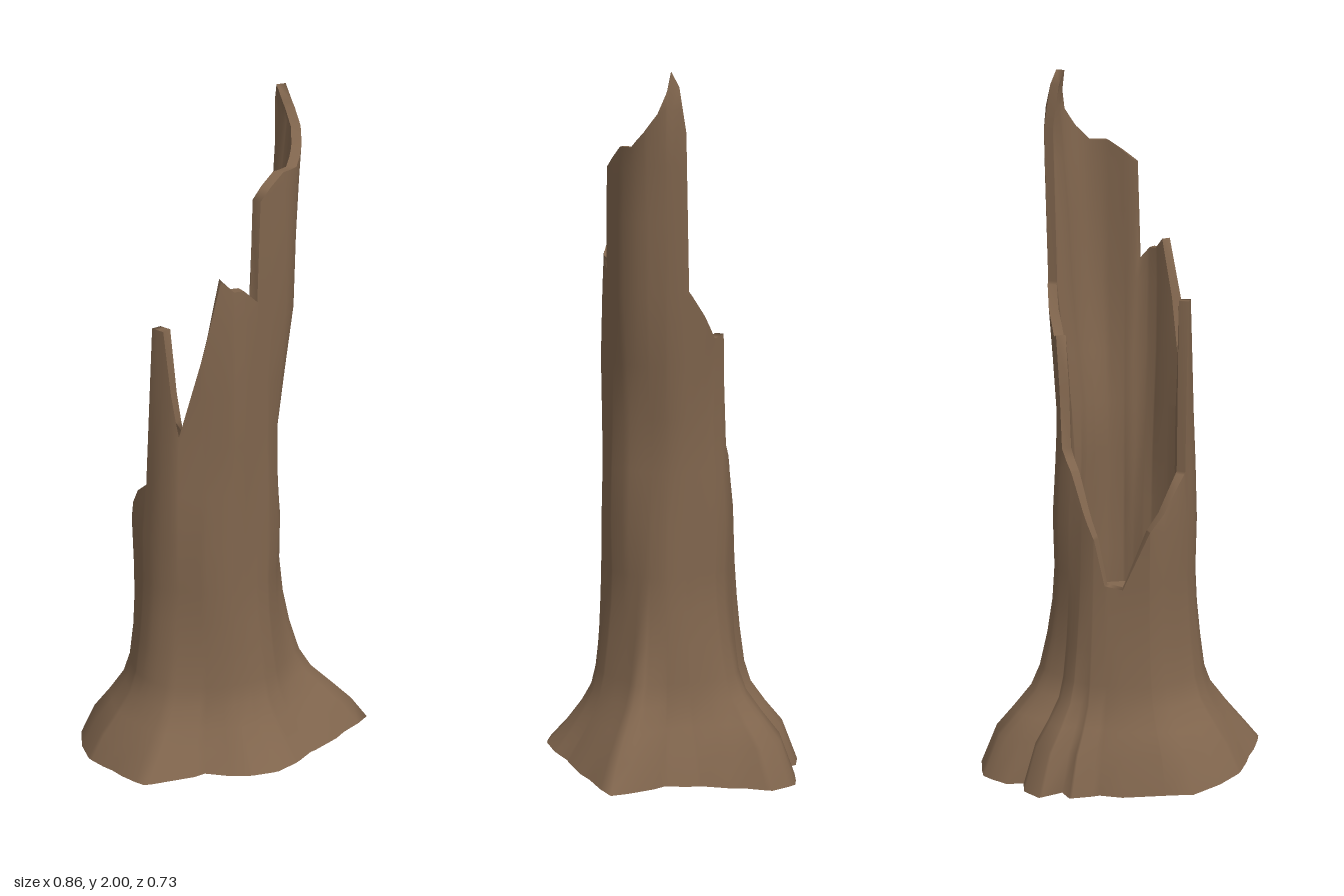
import * as THREE from 'three';
import { mergeVertices } from 'three/addons/utils/BufferGeometryUtils.js';

const CX = -0.03, CZ = 0.02, FLOOR = 0.5;

// Root outline on the ground (x, z)
const ROOTS = [
  [0.425, 0.155], [0.32, 0.22], [0.18, 0.295], [0.05, 0.365], [-0.04, 0.355], [-0.15, 0.29], [-0.335, 0.28],
  [-0.39, 0.16], [-0.43, 0.06], [-0.4, -0.11], [-0.34, -0.155], [-0.18, -0.26], [-0.12, -0.32],
  [-0.08, -0.305], [-0.045, -0.365], [0.015, -0.36], [0.05, -0.325], [0.09, -0.355], [0.18, -0.355],
  [0.25, -0.29], [0.255, -0.21], [0.275, -0.09], [0.305, 0.01], [0.38, 0.09],
];

// Height of the broken rim by angle in degrees (0 = +x, 90 = front)
const RIM = [
  [3, 1.89], [12, 1.84], [22, 1.8], [36, 1.8], [50, 1.77], [63, 1.74], [66, 1.46], [80, 1.5], [89, 1.5],
  [101, 1.53], [119, 1.3], [137, 1.08], [144, 1.2], [152, 1.38], [164, 1.38], [172, 0.9], [186, 0.86],
  [210, 0.75], [230, 0.58], [245, 0.59], [254, 0.72], [267, 0.8], [282, 0.9], [295, 0.96], [303, 1.28],
  [314, 1.27], [328, 1.34], [342, 1.41], [345, 1.84], [349, 1.96], [354, 2.0], [357, 1.95],
];

// Trunk extents by height: y, +x, -x, +z, -z
const TRUNK = [
  [0.3, 0.195, -0.26, 0.22, -0.19], [0.55, 0.17, -0.25, 0.205, -0.175], [0.75, 0.175, -0.255, 0.205, -0.175],
  [1.0, 0.16, -0.235, 0.2, -0.165], [1.4, 0.205, -0.235, 0.198, -0.17], [1.75, 0.22, -0.24, 0.185, -0.165],
  [1.9, 0.225, -0.24, 0.175, -0.16], [2.0, 0.2, -0.235, 0.17, -0.16],
];

// Share of root flare by height
const FLARE = [[0.05, 1], [0.12, 0.75], [0.18, 0.47], [0.24, 0.22], [0.3, 0.1], [0.4, 0.04], [0.55, 0]];

// Linear lookup of column k in a table sorted on column 0
function lookup(table, v, k = 1) {
  if (v <= table[0][0]) return table[0][k];
  for (let i = 1; i < table.length; i++) {
    const a = table[i - 1], b = table[i];
    if (v <= b[0]) return a[k] + (b[k] - a[k]) * (v - a[0]) / (b[0] - a[0]);
  }
  return table[table.length - 1][k];
}

// Repeat an angle table on both sides so lookups wrap round
function wrapped(table) {
  const t = [...table].sort((a, b) => a[0] - b[0]);
  return [-360, 0, 360].flatMap((o) => t.map(([a, v]) => [a + o, v]));
}

const rootPolar = ROOTS.map(([x, z]) => {
  const deg = THREE.MathUtils.radToDeg(Math.atan2(z - CZ, x - CX));
  return [(deg + 360) % 360, Math.hypot(x - CX, z - CZ)];
});
const rootTable = wrapped(rootPolar), rimTable = wrapped(RIM);
const angles = [...rootPolar, ...RIM].map((p) => p[0]).sort((a, b) => a - b);

const rimY = (deg) => lookup(rimTable, deg);

function polar(deg, r, y) {
  const a = THREE.MathUtils.degToRad(deg);
  return [CX + r * Math.cos(a), y, CZ + r * Math.sin(a)];
}

// Radius of the bark without roots
function trunkRadius(deg, y) {
  const a = THREE.MathUtils.degToRad(deg), c = Math.cos(a), s = Math.sin(a);
  const ax = Math.abs(lookup(TRUNK, y, c > 0 ? 1 : 2) - CX);
  const az = Math.abs(lookup(TRUNK, y, s > 0 ? 3 : 4) - CZ);
  const bump = 0.004 * Math.sin(7 * a + 3 * y) + 0.003 * Math.sin(4 * a - 9 * y);
  return 1 / Math.hypot(c / ax, s / az) + bump;
}

// Bark surface, spreading into roots near the ground
function bark(deg, y) {
  const root = lookup(rootTable, deg), trunk = trunkRadius(deg, y);
  const f = Math.pow(lookup(FLARE, y), Math.pow(0.4 / root, 1.5));
  return polar(deg, trunk + (root - trunk) * f, y);
}

function groundEdge(deg) {
  const p = polar(deg, lookup(rootTable, deg), 0);
  p[1] = 0.0365 + 0.1 * p[2];
  return p;
}

// Inner wall, thicker towards the floor of the hollow
function hollow(deg, y) {
  const depth = THREE.MathUtils.clamp((rimY(deg) - y) / 0.9, 0, 1);
  return polar(deg, trunkRadius(deg, y) - 0.028 - 0.035 * depth, y);
}

// Closed surface from a list of ring functions
function skin(name, rings, material) {
  const n = angles.length, pos = [], idx = [];
  rings.forEach((ring) => angles.forEach((deg) => pos.push(...ring(deg))));
  for (let j = 0; j < rings.length - 1; j++) {
    for (let i = 0; i < n; i++) {
      const k = (i + 1) % n, a = j * n + i, b = j * n + k;
      idx.push(a, a + n, b, b, a + n, b + n);
    }
  }
  let g = new THREE.BufferGeometry();
  g.setAttribute('position', new THREE.Float32BufferAttribute(pos, 3));
  g.setIndex(idx);
  g = mergeVertices(g, 1e-5);
  g.computeVertexNormals();
  const mesh = new THREE.Mesh(g, material);
  mesh.name = name;
  return mesh;
}

export function createModel() {
  const wood = new THREE.MeshStandardMaterial({ color: 0x80654d });
  wood.name = 'brown wood';
  const group = new THREE.Group();
  group.name = 'brokenTreeStump';

  // Rows stop at the jagged rim wherever it is lower
  const upTo = (surface, y) => (deg) => surface(deg, Math.min(y, rimY(deg)));
  const upper = [0.6, 0.75, 0.9, 1.05, 1.2, 1.4, 1.6, 1.75, 1.9, 2.01];
  const lower = [0.12, 0.18, 0.24, 0.3, 0.4, 0.5];

  group.add(
    skin('barkAndRoots', [groundEdge, ...[...lower, ...upper].map((y) => upTo(bark, y))], wood),
    skin('hollowWall', [FLOOR, ...upper].reverse().map((y) => upTo(hollow, y)), wood),
    skin('splinteredRim', [upTo(bark, 3), upTo(hollow, 3)], wood),
    skin('hollowFloor', [(d) => hollow(d, FLOOR), () => [CX, FLOOR - 0.01, CZ]], wood),
    skin('underside', [() => [0, 0.035, 0], groundEdge], wood),
  );
  return group;
}
